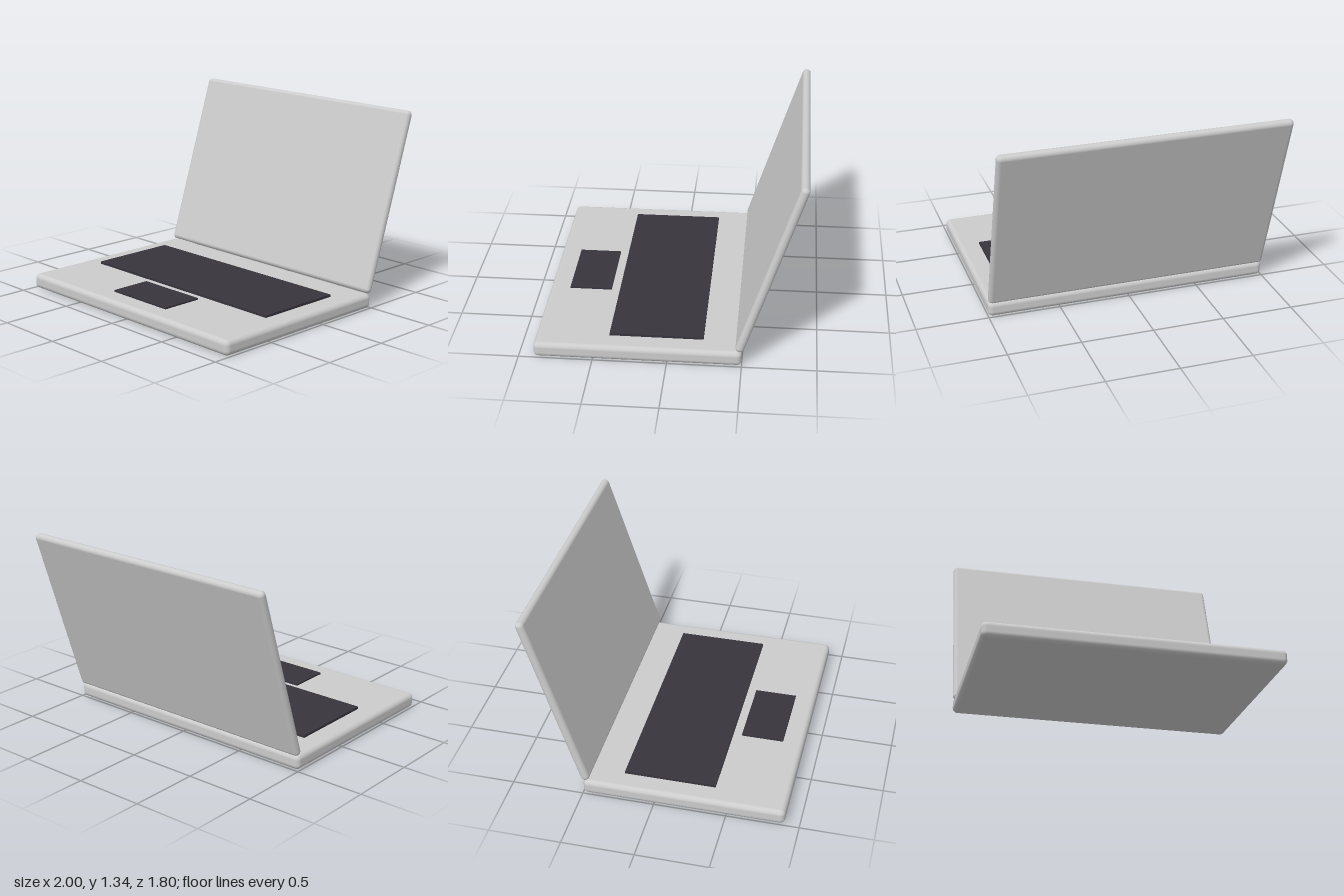
import * as THREE from 'three';
import { RoundedBoxGeometry } from 'three/addons/geometries/RoundedBoxGeometry.js';

const grey = new THREE.MeshStandardMaterial({ color: 0xcccccc });
const dark = new THREE.MeshStandardMaterial({ color: 0x37343c });

export function createModel() {
  const model = new THREE.Group();
  model.name = 'laptop';

  const add = (name, geometry, material, x, y, z) => {
    const mesh = new THREE.Mesh(geometry, material);
    mesh.name = name;
    mesh.position.set(x, y, z);
    model.add(mesh);
    return mesh;
  };

  // Base slab with rounded edges
  add('base', new RoundedBoxGeometry(2, 0.106, 1.4, 5, 0.035), grey, 0, 0.053, 0.2);

  // Lid, leaning back from the rear edge of the base
  const lid = add('lid', new RoundedBoxGeometry(2, 1.293, 0.06, 5, 0.029), grey, 0, 0.722, -0.678);
  lid.rotation.x = -THREE.MathUtils.degToRad(18);

  // Thin dark panels set into the top of the base
  add('keyboard', new THREE.BoxGeometry(1.706, 0.034, 0.636), dark, 0, 0.106, 0.08);
  add('trackpad', new THREE.BoxGeometry(0.532, 0.024, 0.296), dark, 0, 0.106, 0.608);

  return model;
}
